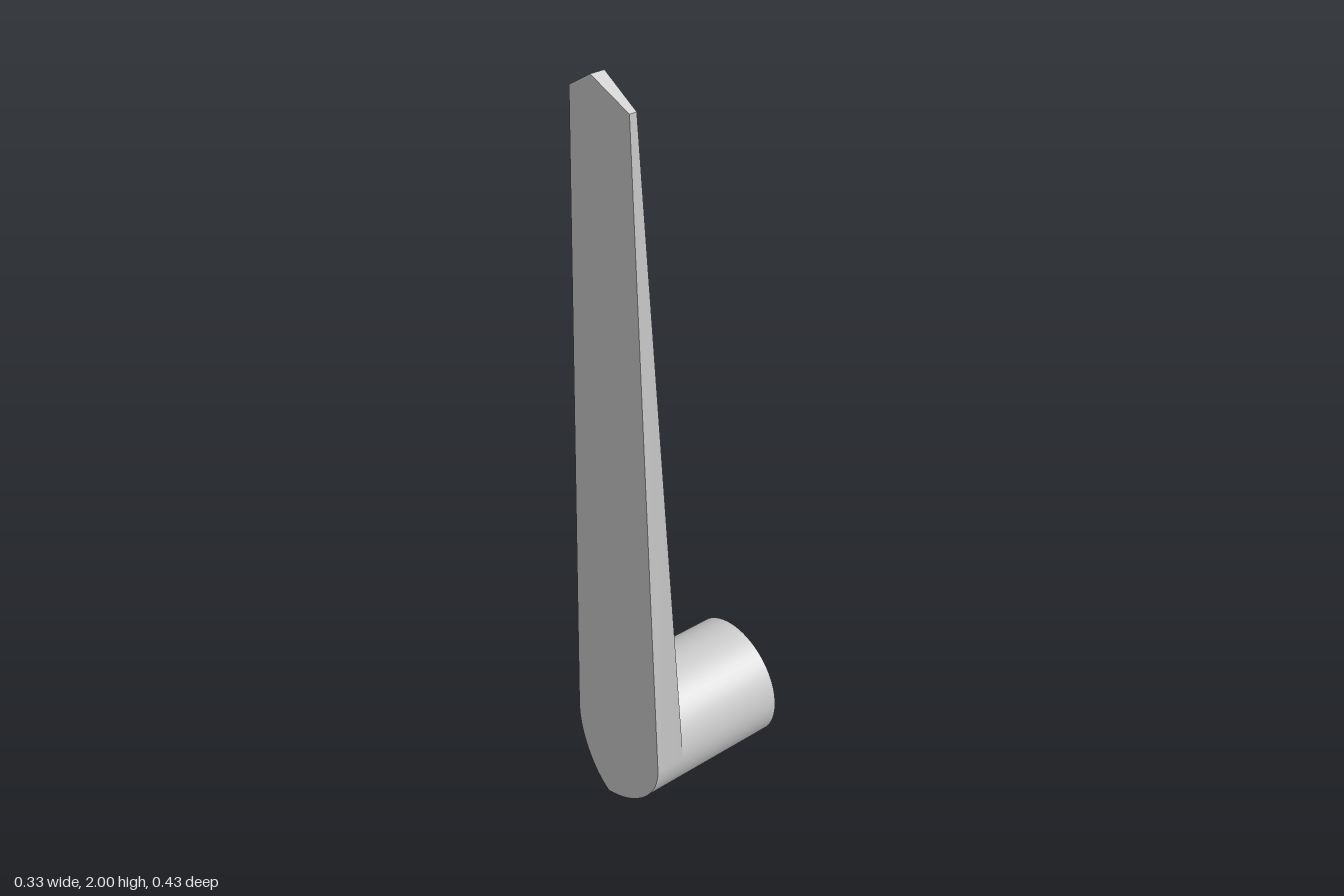
import * as THREE from 'three';
import { toCreasedNormals } from 'three/addons/utils/BufferGeometryUtils.js';

const R = 0.167; // radius of the shaft and of the blade's rounded foot
const HALF_DEPTH = 0.217;
const ARC_STEPS = 16;

const frontZ = (x) => HALF_DEPTH - 0.2 * Math.abs(x); // shallow central ridge
const backZ = (y) => 0.18 - 0.0432 * (2 - y); // blade thins toward the tip

// Tapered blade, lofted upward through six-point cross-sections
function bladeGeometry() {
  const rows = []; // [height, half width]
  for (let i = 0; i <= ARC_STEPS; i++) {
    const a = (i / ARC_STEPS - 1) * Math.PI / 2;
    rows.push([R + R * Math.sin(a), i === 0 ? 0 : R * Math.cos(a)]);
  }
  rows.push([1.94, 0.103], [2, 0]);

  const positions = [];
  const index = [];
  rows.forEach(([y, w], i) => {
    for (const x of [-w, 0, w]) positions.push(x, y, frontZ(x));
    for (const x of [w, 0, -w]) positions.push(x, y, backZ(y));
    if (i === rows.length - 1) return;
    for (let j = 0; j < 6; j++) {
      const a = i * 6 + j;
      const b = i * 6 + (j + 1) % 6;
      index.push(a, b, b + 6, a, b + 6, a + 6);
    }
  });

  const geometry = new THREE.BufferGeometry();
  geometry.setAttribute('position', new THREE.Float32BufferAttribute(positions, 3));
  geometry.setIndex(index);
  return toCreasedNormals(geometry, 0.2);
}

export function createModel() {
  const group = new THREE.Group();
  group.name = 'leverHandle';
  const material = new THREE.MeshStandardMaterial({ color: 0xcccccc });

  const blade = new THREE.Mesh(bladeGeometry(), material);
  blade.name = 'blade';

  // Round shaft running back from the foot, its front end buried in the blade
  const shaftFront = 0.12;
  const length = HALF_DEPTH + shaftFront;
  const shaft = new THREE.Mesh(
    new THREE.CylinderGeometry(R, R, length, ARC_STEPS * 4).rotateX(Math.PI / 2),
    material
  );
  shaft.name = 'shaft';
  shaft.position.set(0, R, shaftFront - length / 2);

  group.add(blade, shaft);
  return group;
}
